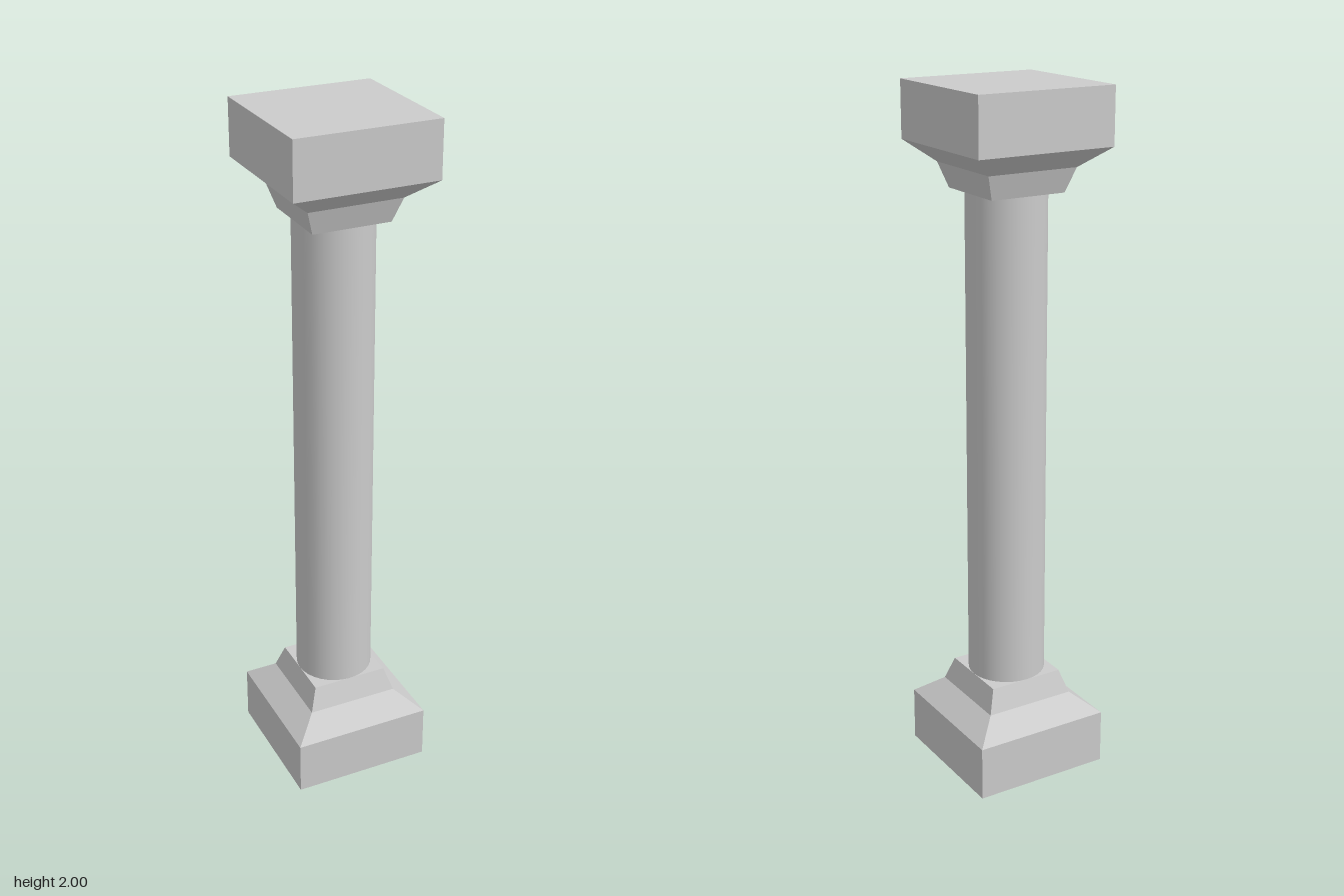
import * as THREE from 'three';

const SHAFT_RADIUS = 0.113;
const END_HEIGHT = 0.286;

// Square block flaring in to the shaft: a four-sided lathe of half-width / height pairs
function squareEnd(name, material, closed) {
  const profile = [[0.206, 0], [0.206, 0.16], [0.136, 0.217], [SHAFT_RADIUS, END_HEIGHT], [0, END_HEIGHT]];
  if (closed) profile.unshift([0, 0]);
  const points = profile.map(([w, y]) => new THREE.Vector2(w * Math.SQRT2, y));
  const mesh = new THREE.Mesh(new THREE.LatheGeometry(points, 4, Math.PI / 4), material);
  mesh.name = name;
  return mesh;
}

export function createModel() {
  const group = new THREE.Group();
  group.name = 'column';
  const smooth = new THREE.MeshStandardMaterial({ color: 0xcccccc });
  const faceted = new THREE.MeshStandardMaterial({ color: 0xcccccc, flatShading: true, side: THREE.DoubleSide });

  // Base, a shell open underneath
  const base = squareEnd('base', faceted, false);

  // Capital, the same form turned over and closed on top
  const capital = squareEnd('capital', faceted, true);
  capital.rotation.x = Math.PI;
  capital.position.y = 2;

  // Round shaft between the two ends
  const shaft = new THREE.Mesh(
    new THREE.CylinderGeometry(SHAFT_RADIUS, SHAFT_RADIUS, 2 - 2 * END_HEIGHT, 32, 1, true), smooth);
  shaft.name = 'shaft';
  shaft.position.y = 1;

  group.add(base, shaft, capital);
  return group;
}
